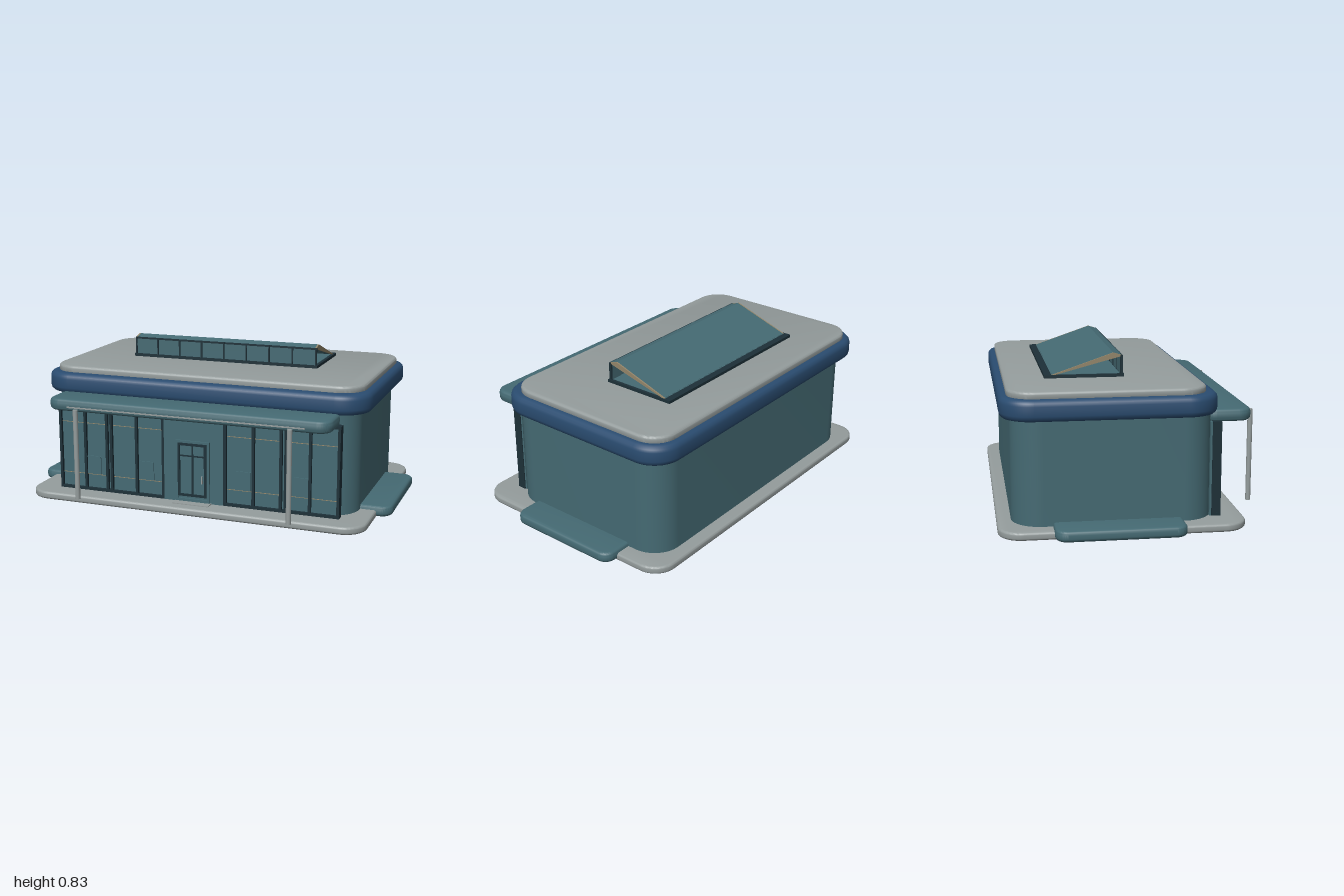
import * as THREE from 'three';
import { toCreasedNormals } from 'three/addons/utils/BufferGeometryUtils.js';

const material = (name, color) => {
  const m = new THREE.MeshStandardMaterial({ color });
  m.name = name;
  return m;
};

export function createModel() {
  const model = new THREE.Group();
  model.name = 'pavilion';

  const stone = material('stone grey', 0x949c9c);
  const teal = material('teal', 0x456a73);
  const navy = material('fascia blue', 0x2a4c70);
  const dark = material('dark frame', 0x1d3038);
  const tan = material('tan trim', 0x94866a);

  const add = (name, geometry, mat, parent = model) => {
    const mesh = new THREE.Mesh(geometry, mat);
    mesh.name = name;
    parent.add(mesh);
    return mesh;
  };

  // Box given by its lower and upper limits
  const box = (name, mat, [x0, x1], [y0, y1], [z0, z1], parent = model) => {
    const mesh = add(name, new THREE.BoxGeometry(x1 - x0, y1 - y0, z1 - z0), mat, parent);
    mesh.position.set((x0 + x1) / 2, (y0 + y1) / 2, (z0 + z1) / 2);
    return mesh;
  };

  // Horizontal slab with rounded corners in plan and a bevelled rim
  const slab = (name, mat, [x0, x1], [y0, y1], [z0, z1], radius, bevel, steps = 4) => {
    const w = (x1 - x0) / 2 - bevel, d = (z1 - z0) / 2 - bevel;
    const r = Math.max(radius - bevel, 0.005);
    const s = new THREE.Shape();
    s.moveTo(-w + r, -d);
    s.lineTo(w - r, -d);
    s.absarc(w - r, -d + r, r, -Math.PI / 2, 0);
    s.lineTo(w, d - r);
    s.absarc(w - r, d - r, r, 0, Math.PI / 2);
    s.lineTo(-w + r, d);
    s.absarc(-w + r, d - r, r, Math.PI / 2, Math.PI);
    s.lineTo(-w, -d + r);
    s.absarc(-w + r, -d + r, r, Math.PI, Math.PI * 1.5);
    const g = new THREE.ExtrudeGeometry(s, {
      depth: y1 - y0 - 2 * bevel, curveSegments: 10,
      bevelEnabled: bevel > 0, bevelThickness: bevel, bevelSize: bevel, bevelSegments: steps,
    });
    g.rotateX(-Math.PI / 2);
    g.translate((x0 + x1) / 2, y0 + bevel, (z0 + z1) / 2);
    return add(name, toCreasedNormals(g, 0.6), mat);
  };

  // Rectangular border made of four bars
  const frame = (name, mat, [x0, x1], [y0, y1], z, t, parent = model) => {
    const g = new THREE.Group();
    g.name = name;
    parent.add(g);
    box('leftBar', mat, [x0, x0 + t], [y0, y1], z, g);
    box('rightBar', mat, [x1 - t, x1], [y0, y1], z, g);
    box('bottomBar', mat, [x0 + t, x1 - t], [y0, y0 + t], z, g);
    box('topBar', mat, [x0 + t, x1 - t], [y1 - t, y1], z, g);
  };

  // Main masses
  slab('basePlinth', stone, [-0.925, 0.925], [0, 0.04], [-0.655, 0.56], 0.12, 0.012);
  slab('walls', teal, [-0.84, 0.84], [0.035, 0.57], [-0.585, 0.405], 0.15, 0);
  slab('roofFascia', navy, [-0.895, 0.895], [0.56, 0.667], [-0.637, 0.425], 0.16, 0.03, 3);
  slab('roofDeck', stone, [-0.857, 0.857], [0.655, 0.7], [-0.6, 0.37], 0.13, 0.014);
  slab('entranceCanopy', teal, [-0.765, 0.765], [0.51, 0.572], [0.36, 0.605], 0.07, 0.02);
  box('canopyTrim', stone, [-0.64, 0.64], [0.53, 0.537], [0.6, 0.61]);
  for (const s of [-1, 1]) {
    const xs = s > 0 ? [0.75, 1] : [-1, -0.75];
    slab('sideTerrace', teal, xs, [0.006, 0.06], [-0.39, 0.245], 0.06, 0.018);
    const column = add('canopyColumn', new THREE.CylinderGeometry(0.013, 0.013, 0.478, 16), stone);
    column.position.set(s * 0.575, 0.293, 0.64);
  }

  // Glazed front
  const front = new THREE.Group();
  front.name = 'shopFront';
  model.add(front);
  box('glazing', teal, [-0.775, 0.775], [0.04, 0.515], [0.39, 0.43], front);
  box('sill', dark, [-0.78, 0.78], [0.04, 0.054], [0.4, 0.446], front);
  box('head', dark, [-0.78, 0.78], [0.502, 0.516], [0.4, 0.446], front);
  box('entranceWall', teal, [-0.165, 0.165], [0.04, 0.512], [0.4, 0.447], front);
  for (const s of [-1, 1]) {
    for (const x of [0.172, 0.325, 0.472, 0.498, 0.625, 0.772])
      box('mullion', dark, [s * x - 0.007, s * x + 0.007], [0.04, 0.515], [0.4, 0.446], front);
    for (const y of [0.127, 0.41]) {
      for (const [a, b] of [[0.18, 0.465], [0.506, 0.765]])
        box('glazingRail', tan, s > 0 ? [a, b] : [-b, -a], [y - 0.0015, y + 0.0015], [0.428, 0.432], front);
    }
    for (const x of [0.27, 0.58])
      box('lowerPanel', teal, [s * x - 0.04, s * x + 0.04], [0.13, 0.23], [0.428, 0.436], front);
  }

  // Door, its frame and step
  const door = new THREE.Group();
  door.name = 'door';
  model.add(door);
  frame('outerFrame', teal, [-0.096, 0.092], [0.045, 0.372], [0.44, 0.457], 0.015, door);
  frame('innerFrame', dark, [-0.081, 0.077], [0.075, 0.36], [0.44, 0.465], 0.012, door);
  box('doorPanel', teal, [-0.07, 0.066], [0.085, 0.35], [0.44, 0.457], door);
  box('doorStile', dark, [-0.004, 0.004], [0.085, 0.35], [0.45, 0.462], door);
  box('doorRail', dark, [-0.07, 0.066], [0.289, 0.296], [0.45, 0.462], door);
  box('doorHandle', stone, [0.05, 0.056], [0.15, 0.19], [0.455, 0.468], door);
  box('doorStep', stone, [-0.1, 0.1], [0.038, 0.044], [0.44, 0.5]);

  // Rooftop skylight: curb, glazed front and a thin sloping wedge, open at the ends
  const skylight = new THREE.Group();
  skylight.name = 'skylight';
  model.add(skylight);
  box('curb', dark, [-0.53, 0.53], [0.705, 0.72], [-0.4, 0], skylight);
  box('curbPanel', teal, [-0.515, 0.515], [0.715, 0.722], [-0.36, -0.02], skylight);
  box('frontGlass', teal, [-0.52, 0.52], [0.715, 0.81], [-0.016, -0.01], skylight);
  box('topRail', dark, [-0.525, 0.525], [0.803, 0.813], [-0.018, -0.006], skylight);
  for (let i = 0; i <= 8; i++) {
    const x = -0.52 + i * 0.13;
    box('skylightMullion', dark, [x - 0.004, x + 0.004], [0.715, 0.812], [-0.018, -0.004], skylight);
  }
  // Wedge section drawn as (-z, y)
  const section = new THREE.Shape([[0.01, 0.808], [0.36, 0.716], [0.375, 0.716], [0.053, 0.826], [0.01, 0.813]]
    .map(([x, y]) => new THREE.Vector2(x, y)));
  const wedge = (name, mat, x0, x1) => {
    const g = new THREE.ExtrudeGeometry(section, { depth: x1 - x0, bevelEnabled: false });
    g.rotateY(Math.PI / 2);
    g.translate(x0, 0, 0);
    add(name, g, mat, skylight);
  };
  wedge('slopingRoof', teal, -0.515, 0.515);
  wedge('roofEdge', tan, -0.523, -0.515);
  wedge('roofEdge', tan, 0.515, 0.523);

  return model;
}
